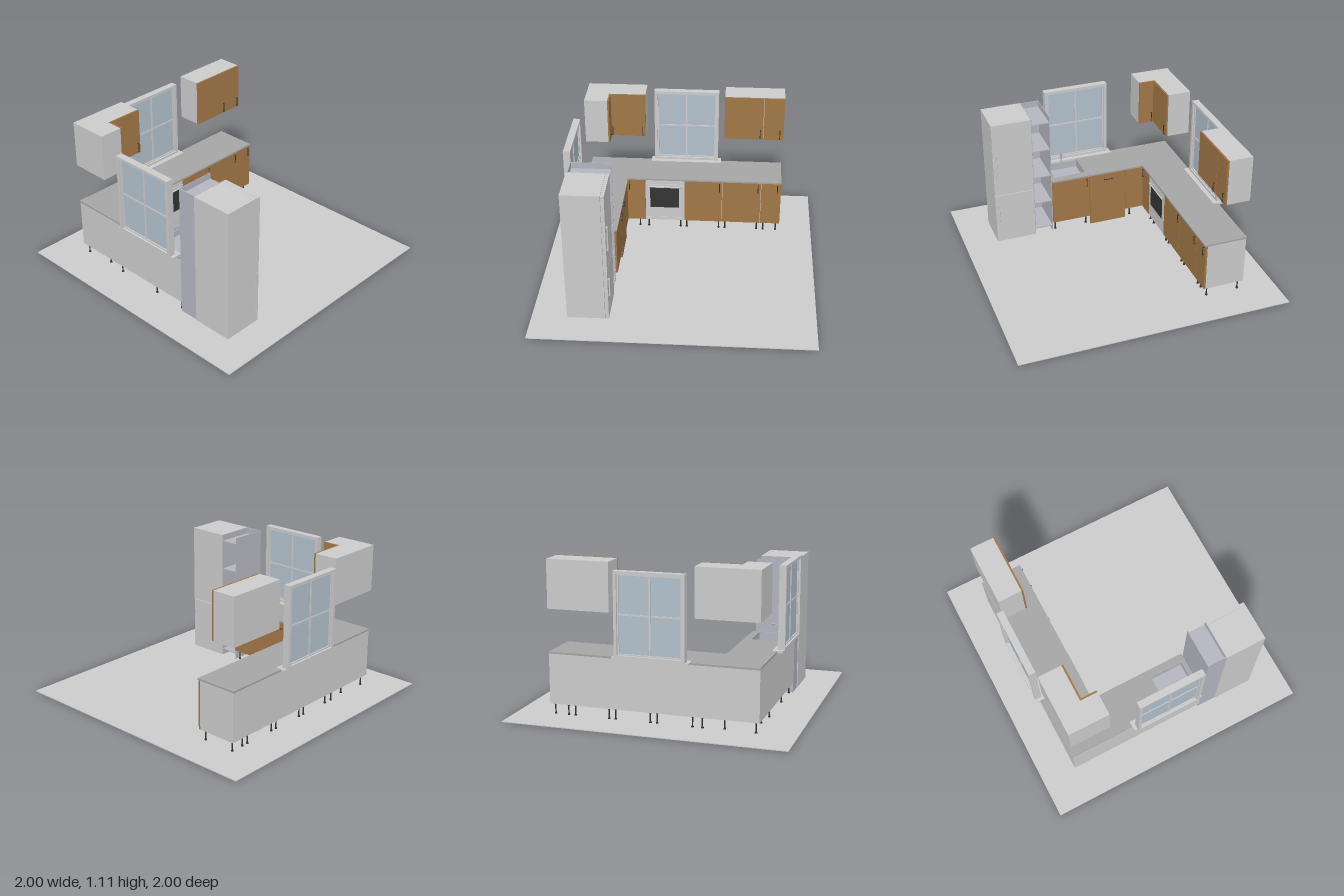
import * as THREE from 'three';

const paint = (color) => new THREE.MeshStandardMaterial({ color });
const GREY = paint(0xcccccc), WOOD = paint(0xa17747), TOP = paint(0xa5a5a7);
const STEEL = paint(0xb4b5be), GLASS = paint(0xb2c1cc), DARK = paint(0x343434);

// Box given by its limits on each axis
function box(parent, name, mat, x0, x1, y0, y1, z0, z1) {
  const mesh = new THREE.Mesh(new THREE.BoxGeometry(x1 - x0, y1 - y0, z1 - z0), mat);
  mesh.position.set((x0 + x1) / 2, (y0 + y1) / 2, (z0 + z1) / 2);
  mesh.name = name;
  parent.add(mesh);
  return mesh;
}

// Cylinder between two points
function rod(parent, name, mat, a, b, r) {
  const p = new THREE.Vector3(...a), q = new THREE.Vector3(...b);
  const mesh = new THREE.Mesh(new THREE.CylinderGeometry(r, r, p.distanceTo(q), 12), mat);
  mesh.position.copy(p).add(q).multiplyScalar(0.5);
  mesh.quaternion.setFromUnitVectors(new THREE.Vector3(0, 1, 0), q.sub(p).normalize());
  mesh.name = name;
  parent.add(mesh);
}

// Bar handle with two posts, standing off the surface along +x or +z
function handle(parent, a, b, axis, mat = DARK, r = 0.003, reach = 0.012) {
  const g = new THREE.Group();
  g.name = 'handle';
  const out = (p) => p.map((v, i) => v + (i === axis ? reach : 0));
  rod(g, 'handleBar', mat, out(a), out(b), r);
  for (const t of [0.06, 0.94]) {
    const p = a.map((v, i) => v + (b[i] - v) * t);
    rod(g, 'handlePost', mat, p, out(p), r);
  }
  parent.add(g);
}

function leg(parent, x, z) {
  const pts = [[0, 0.005], [0.009, 0.005], [0.009, 0.012], [0.005, 0.018], [0.005, 0.075], [0.009, 0.075], [0.009, 0.085]];
  const mesh = new THREE.Mesh(new THREE.LatheGeometry(pts.map((p) => new THREE.Vector2(...p)), 10), DARK);
  mesh.position.set(x, 0, z);
  mesh.name = 'cabinetLeg';
  parent.add(mesh);
}

// Window in a wall facing +z, centred on x = 0 with the wall plane near z = 0
function makeWindow(name) {
  const g = new THREE.Group();
  g.name = name;
  for (const s of [-1, 1]) {
    box(g, 'frameSide', GREY, s > 0 ? 0.228 : -0.25, s > 0 ? 0.25 : -0.228, 0.46, 1.055, -0.05, 0);
    box(g, 'sashSide', GREY, s * 0.223 - 0.005, s * 0.223 + 0.005, 0.48, 1.035, -0.035, -0.012);
  }
  for (const [a, b] of [[0.46, 0.48], [1.035, 1.055]]) box(g, 'frameRail', GREY, -0.228, 0.228, a, b, -0.05, 0);
  for (const y of [0.485, 1.03]) box(g, 'sashRail', GREY, -0.218, 0.218, y - 0.005, y + 0.005, -0.035, -0.012);
  box(g, 'mullion', GREY, -0.006, 0.006, 0.49, 1.025, -0.032, -0.015);
  box(g, 'glazingBar', GREY, -0.218, 0.218, 0.752, 0.764, -0.031, -0.016);
  box(g, 'glass', GLASS, -0.218, 0.218, 0.49, 1.025, -0.026, -0.021);
  box(g, 'windowSill', GREY, -0.275, 0.275, 0.447, 0.463, -0.04, 0.035);
  return g;
}

function makeFridge() {
  const g = new THREE.Group();
  g.name = 'fridge';
  box(g, 'fridgeBody', GREY, -0.75, -0.48, 0.006, 1.005, 0.447, 0.75);
  box(g, 'lowerDoor', GREY, -0.478, -0.453, 0.006, 0.408, 0.447, 0.75);
  box(g, 'upperDoor', GREY, -0.478, -0.453, 0.412, 1.005, 0.447, 0.75);
  for (const [a, b] of [[0.185, 0.335], [0.56, 0.76]])
    handle(g, [-0.454, a, 0.725], [-0.454, b, 0.725], 0, GREY, 0.005, 0.01);
  return g;
}

function makeShelves() {
  const g = new THREE.Group();
  g.name = 'openShelves';
  box(g, 'shelfBack', STEEL, -0.745, -0.738, 0.006, 1.005, 0.303, 0.446);
  for (const z of [0.303, 0.442]) box(g, 'shelfSide', STEEL, -0.738, -0.455, 0.006, 1.005, z, z + 0.004);
  for (let i = 0; i < 5; i++) box(g, 'shelf', STEEL, -0.738, -0.456, 0.051 + i * 0.225, 0.059 + i * 0.225, 0.307, 0.442);
  return g;
}

function makeOven() {
  const g = new THREE.Group();
  g.name = 'oven';
  box(g, 'ovenPlinth', GREY, -0.298, -0.002, 0.085, 0.108, -0.455, -0.443);
  box(g, 'ovenDoor', GREY, -0.298, -0.002, 0.112, 0.405, -0.455, -0.441);
  box(g, 'controlPanel', GREY, -0.298, -0.002, 0.409, 0.443, -0.455, -0.441);
  box(g, 'ovenWindow', DARK, -0.265, -0.04, 0.2, 0.375, -0.442, -0.4395);
  handle(g, [-0.28, 0.39, -0.442], [-0.025, 0.39, -0.442], 2, GREY, 0.005);
  return g;
}

function makeBaseCabinets() {
  const g = new THREE.Group();
  g.name = 'baseCabinets';
  box(g, 'backCarcass', GREY, -0.75, 0.75, 0.085, 0.445, -0.75, -0.455);
  box(g, 'sideCarcass', GREY, -0.75, -0.455, 0.085, 0.445, -0.455, 0);
  // Sink cabinet, open above for the basin
  box(g, 'sinkCabinet', GREY, -0.75, -0.455, 0.085, 0.38, 0, 0.3);
  box(g, 'sinkCabinetBack', GREY, -0.75, -0.735, 0.38, 0.445, 0, 0.3);
  box(g, 'sinkCabinetFront', GREY, -0.465, -0.455, 0.38, 0.445, 0, 0.3);
  box(g, 'sinkCabinetEnd', GREY, -0.735, -0.465, 0.38, 0.445, 0.288, 0.3);
  // Doors on the back run
  for (const [a, b, h] of [[-0.454, -0.302, -0.425], [0.002, 0.294, 0.275], [0.298, 0.594, 0.573], [0.598, 0.75, 0.722]]) {
    box(g, 'door', WOOD, a, b, 0.085, 0.443, -0.455, -0.441);
    handle(g, [h, 0.36, -0.442], [h, 0.43, -0.442], 2);
  }
  // Doors on the side run, with the tall dishwasher front between them
  box(g, 'cornerDoor', WOOD, -0.455, -0.441, 0.085, 0.443, -0.441, -0.298);
  box(g, 'dishwasherFront', WOOD, -0.455, -0.441, 0.01, 0.443, -0.295, -0.002);
  box(g, 'sinkDoor', WOOD, -0.455, -0.441, 0.085, 0.443, 0.002, 0.3);
  handle(g, [-0.442, 0.395, -0.185], [-0.442, 0.395, -0.115], 0);
  handle(g, [-0.442, 0.36, 0.025], [-0.442, 0.43, 0.025], 0);
  // Legs
  for (const x of [-0.35, -0.28, -0.028, 0.02, 0.273, 0.322, 0.572, 0.623, 0.722])
    for (const z of [-0.478, -0.72]) leg(g, x, z);
  for (const z of [-0.345, 0.025, 0.278]) for (const x of [-0.478, -0.72]) leg(g, x, z);
  for (const [x, z] of [[-0.72, -0.72], [-0.5, -0.7], [-0.7, -0.5]]) leg(g, x, z);
  return g;
}

// L-shaped worktop with a cut-out, drawn in plan as (x, -z)
function makeWorktop() {
  const g = new THREE.Group();
  g.name = 'worktopAndSink';
  const path = (pts) => pts.map(([x, z]) => new THREE.Vector2(x, -z));
  const shape = new THREE.Shape(path([[-0.75, -0.755], [0.75, -0.755], [0.75, -0.435], [-0.435, -0.435], [-0.435, 0.302], [-0.75, 0.302]]));
  shape.holes.push(new THREE.Path(path([[-0.72, 0.02], [-0.49, 0.02], [-0.49, 0.27], [-0.72, 0.27]])));
  const top = new THREE.Mesh(new THREE.ExtrudeGeometry(shape, { depth: 0.013, bevelEnabled: false }), TOP);
  top.rotation.x = -Math.PI / 2;
  top.position.y = 0.445;
  top.name = 'worktop';
  g.add(top);
  // Basin
  box(g, 'basinFloor', STEEL, -0.72, -0.49, 0.382, 0.388, 0.02, 0.27);
  for (const x of [-0.723, -0.49]) box(g, 'basinWall', STEEL, x, x + 0.003, 0.382, 0.461, 0.017, 0.273);
  for (const z of [0.017, 0.27]) box(g, 'basinWall', STEEL, -0.72, -0.49, 0.382, 0.461, z, z + 0.003);
  // Tap
  rod(g, 'tapBase', STEEL, [-0.697, 0.458, 0.148], [-0.697, 0.468, 0.148], 0.011);
  rod(g, 'tapColumn', STEEL, [-0.697, 0.46, 0.148], [-0.697, 0.56, 0.148], 0.007);
  rod(g, 'tapSpout', STEEL, [-0.697, 0.553, 0.148], [-0.615, 0.553, 0.148], 0.005);
  return g;
}

function makeWallCabinets() {
  const g = new THREE.Group();
  g.name = 'wallCabinets';
  const y0 = 0.76, y1 = 1.105;
  box(g, 'cornerCabinet', GREY, -0.75, -0.302, y0, y1, -0.755, -0.58);
  box(g, 'cornerCabinetWing', GREY, -0.75, -0.578, y0, y1, -0.58, -0.452);
  box(g, 'wingDoor', WOOD, -0.578, -0.565, y0, y1, -0.565, -0.452);
  box(g, 'rightCabinet', GREY, 0.3, 0.75, y0, y1, -0.755, -0.58);
  for (const [a, b, h] of [[-0.578, -0.302, -0.325], [0.3, 0.594, 0.573], [0.598, 0.75, 0.722]]) {
    box(g, 'wallDoor', WOOD, a, b, y0, y1, -0.58, -0.567);
    handle(g, [h, 0.77, -0.568], [h, 0.845, -0.568], 2);
  }
  handle(g, [-0.566, 0.77, -0.55], [-0.566, 0.845, -0.55], 0);
  return g;
}

export function createModel() {
  const model = new THREE.Group();
  model.name = 'kitchen';
  box(model, 'floor', GREY, -1, 1, 0, 0.006, -1, 1);
  const backWindow = makeWindow('backWindow');
  backWindow.position.z = -0.75;
  const sideWindow = makeWindow('sideWindow');
  sideWindow.rotation.y = Math.PI / 2;
  sideWindow.position.x = -0.75;
  model.add(makeFridge(), makeShelves(), makeBaseCabinets(), makeOven(), makeWorktop(), makeWallCabinets(), backWindow, sideWindow);
  return model;
}
